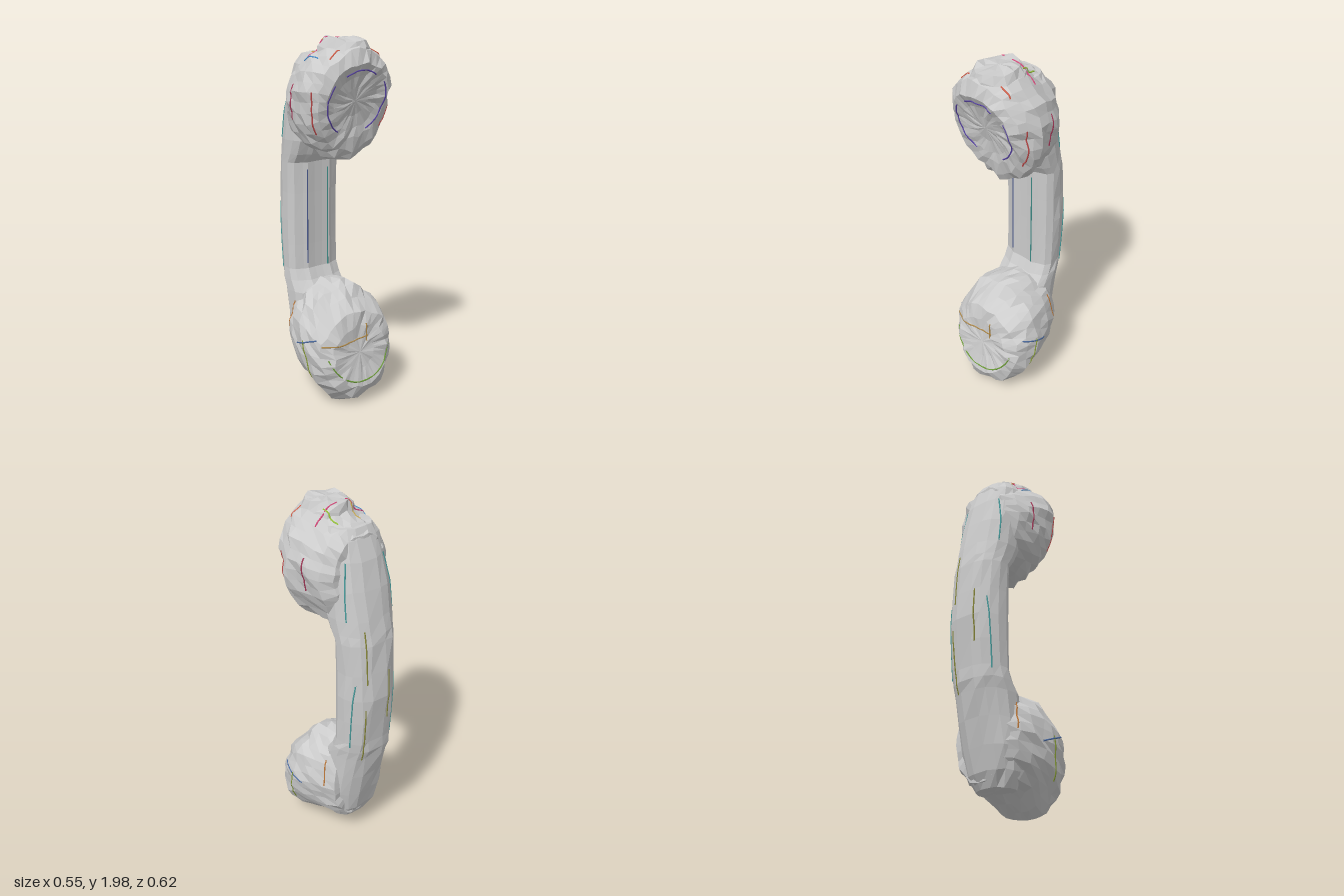
import * as THREE from 'three';

const grey = () => new THREE.MeshStandardMaterial({ color: 0xcccccc, flatShading: true });

// Repeatable value in -1..1 for the rough surface
const rough = (a, b, c) => {
  const s = Math.sin(a * 12.9898 + b * 78.233 + c * 37.719) * 43758.5453;
  return (s - Math.floor(s)) * 2 - 1;
};

// Skin between closed rings that hold the same number of points
function loft(rings) {
  const n = rings[0].length, pos = rings.flat(2), index = [];
  for (let i = 0; i < rings.length - 1; i++) {
    for (let j = 0; j < n; j++) {
      const a = i * n + j, b = i * n + (j + 1) % n;
      index.push(a, b, b + n, a, b + n, a + n);
    }
  }
  const g = new THREE.BufferGeometry();
  g.setAttribute('position', new THREE.Float32BufferAttribute(pos, 3));
  g.setIndex(index);
  g.computeVertexNormals();
  return g;
}

// Lumpy round end; sections are
// [z, centre y, half width, height above, height below, forward tilt above, tilt below]
function head(name, sections, seed) {
  const n = 34;
  const rings = sections.map(([z, cy, rx, up, down, tiltUp, tiltDown], i) =>
    Array.from({ length: n }, (_, j) => {
      const a = j / n * Math.PI * 2, s = Math.sin(a);
      const k = 1 + 0.045 * rough(i, j, seed);
      const y = s * (s > 0 ? up : down) * k;
      const dz = 0.05 * rx * rough(j, i, seed + 1);
      return [Math.cos(a) * rx * k, cy + y, z + (s > 0 ? tiltUp : tiltDown) * y + dz];
    }));
  const mesh = new THREE.Mesh(loft(rings), grey());
  mesh.name = name;
  return mesh;
}

// Curved grip; sections are [y, back z, front z, half width]
function grip() {
  const sections = [
    [0.12, -0.06, -0.05, 0], [0.12, -0.13, 0.02, 0.11], [0.2, -0.165, 0.02, 0.15],
    [0.32, -0.2, 0.02, 0.165], [0.46, -0.235, 0.01, 0.165], [0.6, -0.265, 0, 0.165],
    [0.66, -0.275, -0.05, 0.163], [0.72, -0.285, -0.078, 0.16], [0.86, -0.3, -0.08, 0.16],
    [1, -0.31, -0.08, 0.16], [1.15, -0.302, -0.08, 0.16], [1.32, -0.285, -0.078, 0.162],
    [1.37, -0.275, -0.04, 0.165], [1.45, -0.262, 0, 0.17], [1.6, -0.23, 0.01, 0.17],
    [1.75, -0.19, 0.02, 0.165], [1.85, -0.155, 0.03, 0.15], [1.9, -0.13, 0.03, 0.12],
    [1.9, -0.05, -0.04, 0]];
  // Half outline: [across, depth from front 0 to back 1], with a flat raised front
  const half = [[0.15, 0.02], [0.45, 0], [0.6, 0.06], [0.88, 0.14], [1, 0.3], [0.98, 0.55],
    [0.86, 0.77], [0.62, 0.92], [0.3, 0.99]];
  const outline = [...half, ...half.map(([u, v]) => [-u, v]).reverse()];
  const rings = sections.map(([y, back, front, w], i) => outline.map(([u, v], j) => {
    const r = w && v > 0.5 ? 0.006 * rough(i, j, 5) : 0;
    return [-0.015 + u * w + r, y + r, front + (back - front) * v + r];
  }));
  const mesh = new THREE.Mesh(loft(rings), grey());
  mesh.name = 'grip';
  return mesh;
}

// Uneven crown on top of the earpiece
function crown() {
  const sections = [[1.88, 0.155, 0.15], [1.94, 0.125, 0.14], [1.985, 0.1, 0.125], [1.988, 0.06, 0.07],
    [1.988, 0, 0]];
  const n = 14;
  const rings = sections.map(([y, rx, rz], i) => Array.from({ length: n }, (_, j) => {
    const a = j / n * Math.PI * 2, k = 1 + 0.07 * rough(i, j, 11);
    return [Math.cos(a) * rx * k, y + 0.12 * rx * rough(j, i, 12), 0.12 - Math.sin(a) * rz * k];
  }));
  const mesh = new THREE.Mesh(loft(rings), grey());
  mesh.name = 'crown';
  return mesh;
}

// Points on an arc, angles in degrees
const arc = (cx, cy, r, from, to) => Array.from({ length: 9 }, (_, i) => {
  const a = THREE.MathUtils.degToRad(from + (to - from) * i / 8);
  return [cx + r * Math.cos(a), cy + r * Math.sin(a)];
});

// Places a flat point far out on one side, with the direction back to the body
const sides = {
  front: ([a, b]) => [[a, b, 3], [0, 0, -1]],
  back: ([a, b]) => [[a, b, -3], [0, 0, 1]],
  left: ([a, b]) => [[3, b, a], [-1, 0, 0]],
  right: ([a, b]) => [[-3, b, a], [1, 0, 0]],
  top: ([a, b]) => [[a, 4, b], [0, -1, 0]],
};

// Thin coloured line laid on the body
function stroke(body, side, color, pts) {
  const path = new THREE.CatmullRomCurve3(pts.map(([a, b]) => new THREE.Vector3(a, b, 0)));
  const hits = path.getPoints(10).map((p) => {
    const [o, d] = sides[side]([p.x, p.y]);
    const ray = new THREE.Raycaster(new THREE.Vector3(...o), new THREE.Vector3(...d));
    return ray.intersectObject(body, true)[0]?.point;
  }).filter(Boolean);
  const tube = new THREE.TubeGeometry(new THREE.CatmullRomCurve3(hits), 20, 0.004, 6);
  const mesh = new THREE.Mesh(tube, new THREE.MeshStandardMaterial({ color }));
  mesh.name = side + 'Line';
  return mesh;
}

export function createModel() {
  const model = new THREE.Group();
  model.name = 'handset';
  const body = new THREE.Group();
  body.name = 'body';
  model.add(body);

  body.add(grip(), crown());
  body.add(head('earpiece', [
    [-0.16, 1.66, 0, 0, 0, 0, 0], [-0.15, 1.66, 0.165, 0.21, 0.21, 0, 0],
    [-0.09, 1.66, 0.21, 0.25, 0.285, 0, 0], [-0.03, 1.67, 0.24, 0.255, 0.305, 0, 0],
    [0.04, 1.68, 0.258, 0.28, 0.317, 0, 0], [0.1, 1.68, 0.268, 0.285, 0.322, 0.08, 0.02],
    [0.15, 1.685, 0.262, 0.28, 0.317, 0.16, 0.06], [0.2, 1.69, 0.235, 0.255, 0.28, 0.25, 0.12],
    [0.232, 1.69, 0.19, 0.185, 0.21, 0.32, 0.27], [0.218, 1.68, 0.14, 0.13, 0.15, 0.3, 0.25],
    [0.215, 1.68, 0.07, 0.07, 0.08, 0.3, 0.3], [0.215, 1.68, 0, 0, 0, 0, 0]], 1));
  body.add(head('mouthpiece', [
    [-0.15, 0.38, 0, 0, 0, 0, 0], [-0.145, 0.38, 0.165, 0.24, 0.23, 0, 0],
    [-0.09, 0.39, 0.21, 0.265, 0.26, 0, 0], [-0.02, 0.385, 0.24, 0.275, 0.27, 0, 0],
    [0.05, 0.37, 0.26, 0.293, 0.285, 0, -0.05], [0.11, 0.355, 0.267, 0.3, 0.31, 0, -0.1],
    [0.17, 0.335, 0.264, 0.27, 0.322, 0, -0.06], [0.23, 0.325, 0.24, 0.215, 0.26, 0.05, -0.18],
    [0.275, 0.32, 0.18, 0.145, 0.19, -0.1, -0.18], [0.274, 0.32, 0.09, 0.08, 0.09, -0.15, -0.15],
    [0.273, 0.32, 0, 0, 0, 0, 0]], 7));
  body.updateMatrixWorld(true);

  const lines = [
    ['front', 0x5a45a8, arc(0, 1.68, 0.16, 55, 125)],
    ['front', 0x5a45a8, arc(0, 1.68, 0.18, 150, 240)],
    ['front', 0x5a45a8, arc(0, 1.68, 0.18, -60, 30)],
    ['front', 0x6fa03a, arc(0, 0.37, 0.21, 195, 345)],
    ['front', 0xb08a4a, [[-0.23, 0.39], [-0.1, 0.385], [0.06, 0.4]]],
    ['front', 0xb08a4a, [[0.05, 0.37], [0.05, 0.47]]],
    ['front', 0x4a5a90, [[-0.09, 0.75], [-0.09, 1.28]]],
    ['front', 0x3f8f8a, [[0.045, 0.72], [0.045, 1.28]]],
    ['top', 0xd8487a, [[0.01, 0.03], [0.15, 0.02]]],
    ['top', 0xd8487a, [[-0.16, 0.03], [-0.04, 0.03]]],
    ['top', 0xc9a84a, [[-0.07, -0.06], [-0.07, 0.04]]],
    ['top', 0x9ac83a, [[0.07, -0.06], [0.085, 0.04]]],
    ['top', 0x4a90d0, [[-0.16, 0], [-0.17, 0.13]]],
    ['top', 0xd8604a, [[-0.16, 0.21], [-0.1, 0.21]]],
    ['top', 0xd8604a, [[0.1, 0.205], [0.16, 0.205]]],
    ['back', 0x8a8a3a, [[-0.08, 0.85], [-0.08, 1.15]]],
    ['back', 0x8a8a3a, [[0.06, 0.6], [0.07, 0.95]]],
    ['back', 0x8a8a3a, [[0.06, 1.1], [0.06, 1.4]]],
  ];
  for (const side of ['left', 'right']) {
    lines.push(
      [side, 0xc04a4a, [[0.16, 1.52], [0.18, 1.74]]],
      [side, 0xa83a5a, [[0, 1.58], [0, 1.76]]],
      [side, 0x4aa0a0, [[-0.16, 1.75], [-0.2, 1.45]]],
      [side, 0x4aa0a0, [[-0.23, 0.7], [-0.26, 1.1]]],
      [side, 0x4a6aa0, [[0.2, 0.42], [0.04, 0.36]]],
      [side, 0x8aa03a, [[0.15, 0.18], [0.11, 0.4]]],
      [side, 0xc07a3a, [[-0.08, 0.55], [-0.1, 0.4]]]);
  }
  for (const line of lines) model.add(stroke(body, ...line));
  return model;
}
